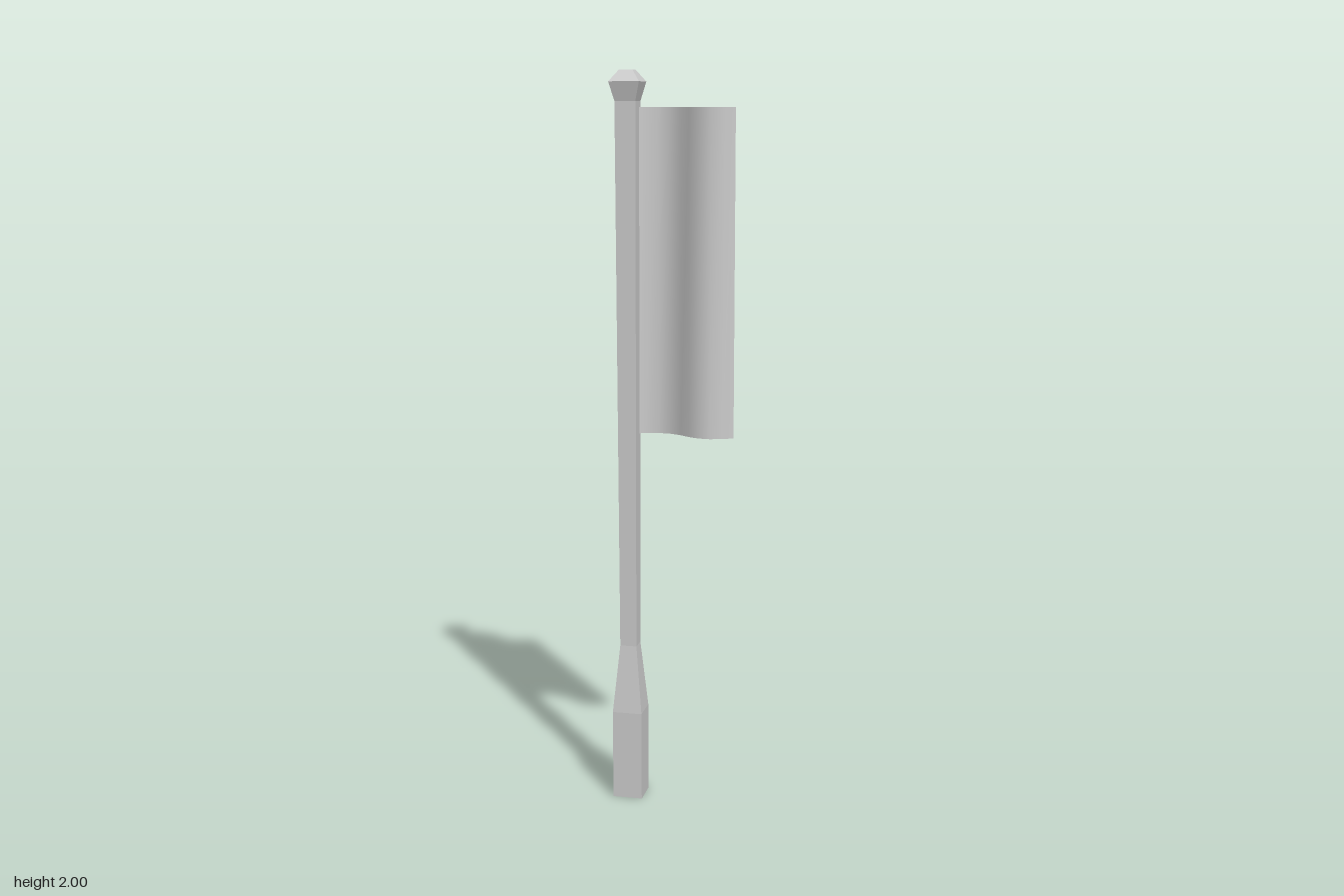
import * as THREE from 'three';

const POLE_X = -0.125;

export function createModel() {
  const model = new THREE.Group();
  model.name = 'bannerPost';

  const postGrey = new THREE.MeshStandardMaterial({ color: 0xcccccc, flatShading: true, side: THREE.DoubleSide });
  postGrey.name = 'grey';
  const clothGrey = new THREE.MeshStandardMaterial({ color: 0xcccccc, side: THREE.DoubleSide });
  clothGrey.name = 'cloth grey';

  // Square solid from [half width, height] pairs, bottom to top
  const squareLathe = (name, profile) => {
    const points = profile.map(([half, y]) => new THREE.Vector2(half * Math.SQRT2, y));
    const geometry = new THREE.LatheGeometry(points, 4, Math.PI / 4).toNonIndexed();
    geometry.computeVertexNormals();
    const mesh = new THREE.Mesh(geometry, postGrey);
    mesh.name = name;
    mesh.position.x = POLE_X;
    model.add(mesh);
  };

  // Post with a thick foot and a shaft that widens slightly upwards
  squareLathe('post', [[0, 0], [0.041, 0], [0.041, 0.25], [0.023, 0.44], [0.028, 1.92]]);

  // Flared cap with a bevelled, flat top
  squareLathe('cap', [[0.028, 1.92], [0.041, 1.97], [0.018, 2], [0, 2]]);

  // Thin cloth, hanging in one wave beside the post
  const wave = [
    [-0.125, 0], [-0.1, -0.013], [-0.082, -0.021], [-0.049, -0.029], [-0.016, -0.026], [0.016, -0.011],
    [0.041, 0.008], [0.072, 0.023], [0.103, 0.026], [0.136, 0.017], [0.163, 0],
  ];
  const cloth = new THREE.PlaneGeometry(1, 0.87, wave.length - 1, 1);
  const position = cloth.attributes.position;
  for (let i = 0; i < position.count; i++) {
    const [x, z] = wave[i % wave.length];
    position.setX(i, x);
    position.setZ(i, z);
  }
  cloth.computeVertexNormals();
  const banner = new THREE.Mesh(cloth, clothGrey);
  banner.name = 'banner';
  banner.position.y = 1.47;
  model.add(banner);

  return model;
}
